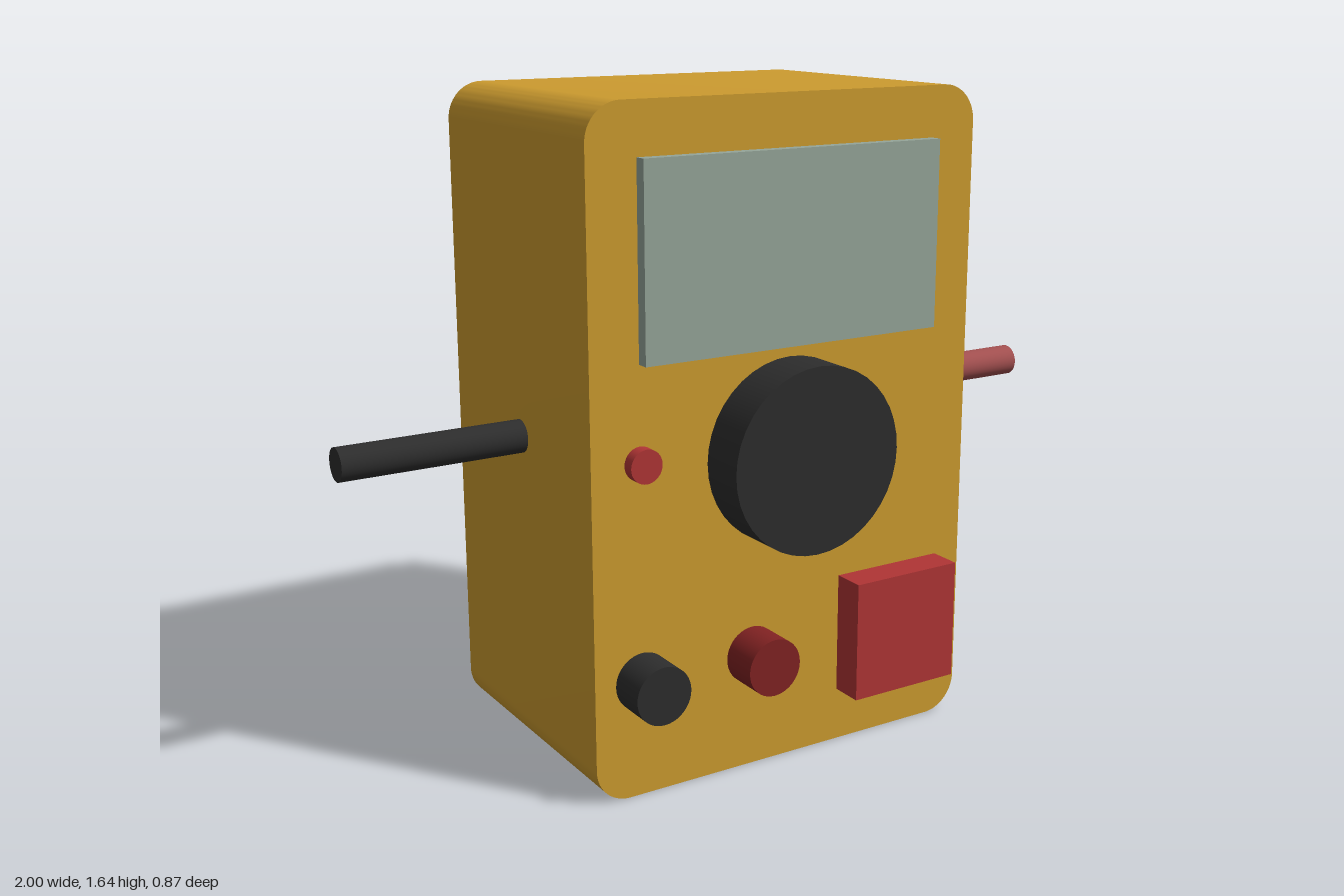
import * as THREE from 'three';
import { toCreasedNormals } from 'three/addons/utils/BufferGeometryUtils.js';

const paint = (name, color) => {
  const m = new THREE.MeshStandardMaterial({ color });
  m.name = name;
  return m;
};

export function createModel() {
  const model = new THREE.Group();
  model.name = 'handheldMeter';

  const mustard = paint('mustard', 0xcc9b2f);
  const charcoal = paint('charcoal', 0x2d2d2d);
  const screenGrey = paint('screenGrey', 0x95a599);
  const red = paint('red', 0xb03535);
  const darkRed = paint('darkRed', 0x802222);
  const dustyRed = paint('dustyRed', 0xa35050);

  const front = 0.313, back = -0.405;
  const add = (name, geometry, material, x, y, z) => {
    const mesh = new THREE.Mesh(geometry, material);
    mesh.name = name;
    mesh.position.set(x, y, z);
    model.add(mesh);
    return mesh;
  };
  // Plate between two depths, given by its centre and size
  const plate = (name, material, x, y, w, h, z0, z1) =>
    add(name, new THREE.BoxGeometry(w, h, z1 - z0), material, x, y, (z0 + z1) / 2);
  // Round control standing on the front face
  const round = (name, material, x, y, r, z1) => {
    const depth = z1 - front + 0.01;
    const geometry = new THREE.CylinderGeometry(r, r, depth, 40).rotateX(Math.PI / 2);
    return add(name, geometry, material, x, y, z1 - depth / 2);
  };

  // Case: rounded rectangle extruded front to back
  const w = 0.537, h = 1.642, r = 0.09;
  const outline = new THREE.Shape();
  outline.absarc(w - r, r, r, -Math.PI / 2, 0);
  outline.absarc(w - r, h - r, r, 0, Math.PI / 2);
  outline.absarc(-w + r, h - r, r, Math.PI / 2, Math.PI);
  outline.absarc(-w + r, r, r, Math.PI, Math.PI * 1.5);
  const caseGeometry = new THREE.ExtrudeGeometry(outline, {
    depth: front - back, bevelEnabled: false, curveSegments: 10,
  });
  add('case', toCreasedNormals(caseGeometry, 0.5), mustard, 0, 0, back);

  // Front panel
  plate('screen', screenGrey, 0, 1.286, 0.82, 0.462, front - 0.01, 0.344);
  plate('squareButton', red, 0.308, 0.29, 0.307, 0.307, front - 0.01, 0.397);
  round('dial', charcoal, 0, 0.795, 0.23, 0.437);
  round('indicatorLamp', red, -0.41, 0.824, 0.041, 0.344);
  round('blackSocket', charcoal, -0.41, 0.29, 0.072, 0.414);
  round('redSocket', darkRed, -0.103, 0.29, 0.072, 0.414);

  // Back cover
  plate('backCover', charcoal, 0, 0.824, 0.872, 1.437, -0.437, back + 0.01);

  // Side leads, one per side
  for (const [name, material, side] of [['redLead', dustyRed, 1], ['blackLead', charcoal, -1]]) {
    const geometry = new THREE.CylinderGeometry(0.041, 0.041, 0.48, 32).rotateZ(Math.PI / 2);
    add(name, geometry, material, side * 0.76, 0.824, -0.046);
  }

  return model;
}
